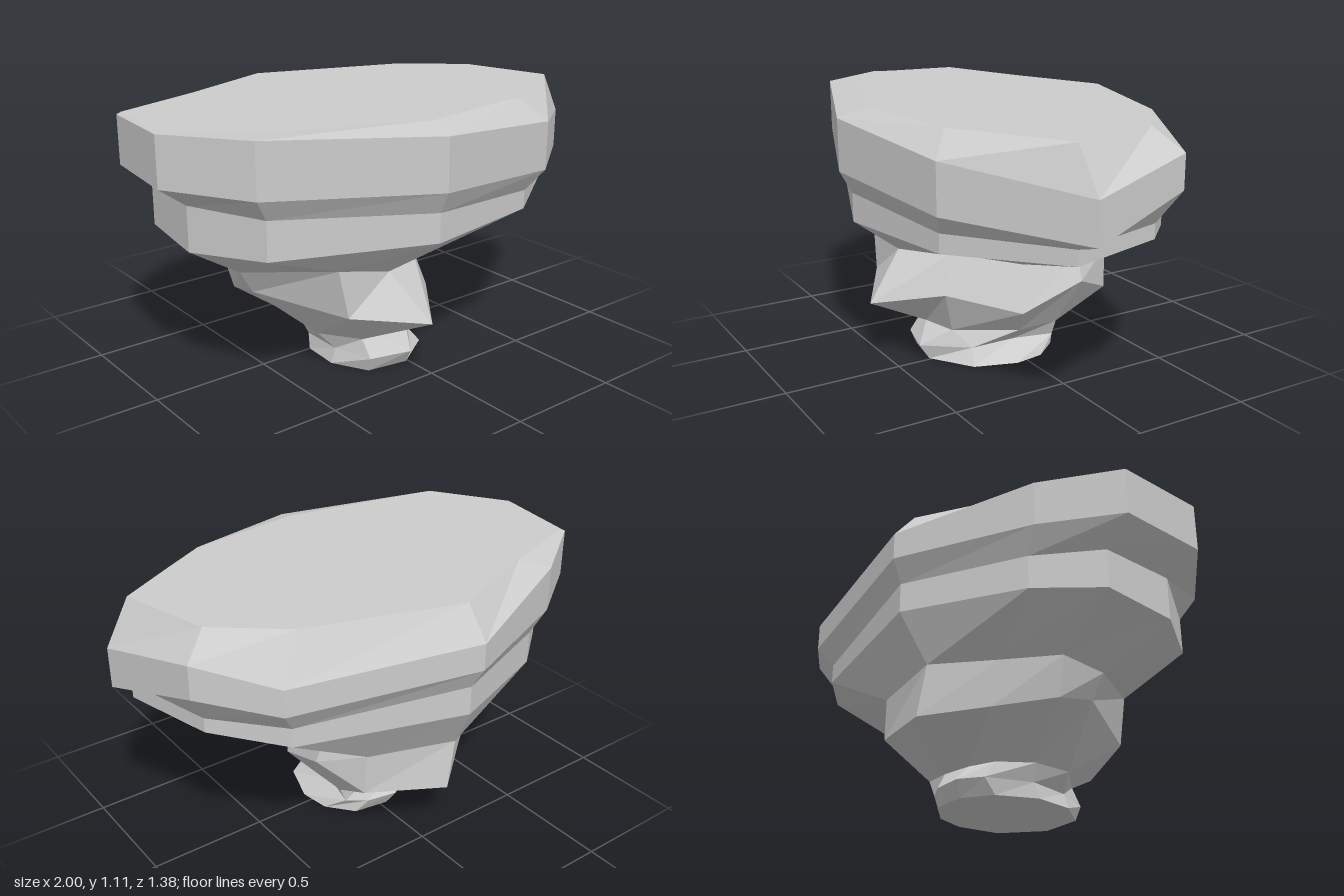
import * as THREE from 'three';

// Ten-sided outlines as [x, z], starting at the back and going round by the +x side
const plateau = [[-0.11, -0.585], [0.53, -0.38], [0.79, -0.165], [0.89, 0.23], [0.435, 0.495],
  [-0.08, 0.57], [-0.66, 0.355], [-0.985, 0.12], [-0.935, -0.27], [-0.545, -0.405]];
const rim = [[-0.11, -0.69], [0.64, -0.455], [0.9, -0.24], [1, 0.215], [0.53, 0.585],
  [-0.11, 0.685], [-0.785, 0.435], [-1, 0.12], [-0.95, -0.28], [-0.66, -0.48]];
const ledge = [[-0.1, -0.637], [0.58, -0.41], [0.82, -0.178], [0.91, 0.235], [0.46, 0.54],
  [-0.1, 0.637], [-0.725, 0.4], [-0.87, 0.085], [-0.83, -0.26], [-0.6, -0.45]];
const waist = [[-0.14, -0.52], [0.22, -0.4], [0.29, -0.21], [0.24, 0.04], [0.07, 0.28],
  [-0.16, 0.41], [-0.41, 0.41], [-0.6, 0], [-0.56, -0.2], [-0.36, -0.35]];
const bulge = [[-0.1, -0.53], [0.23, -0.395], [0.335, -0.2], [0.3, 0.07], [0.11, 0.33],
  [-0.08, 0.585], [-0.37, 0.42], [-0.54, 0], [-0.52, -0.18], [-0.32, -0.35]];
const ankle = [[-0.05, -0.19], [0.08, -0.19], [0.19, -0.17], [0.2, 0.03], [0.05, 0.27],
  [-0.11, 0.31], [-0.2, 0.29], [-0.31, 0.13], [-0.28, -0.04], [-0.17, -0.16]];
const collar = [[-0.05, -0.255], [0.08, -0.23], [0.16, -0.17], [0.12, 0], [0.12, 0.21],
  [-0.02, 0.39], [-0.2, 0.345], [-0.25, 0.17], [-0.25, -0.02], [-0.15, -0.2]];
const sole = [[-0.03, -0.215], [0.12, -0.19], [0.21, -0.08], [0.23, 0.05], [0.17, 0.23],
  [-0.01, 0.35], [-0.19, 0.32], [-0.27, 0.17], [-0.26, 0], [-0.16, -0.15]];

// Lift an outline to one height, or to a height per corner
const ring = (outline, y) => outline.map(([x, z], i) => [x, Array.isArray(y) ? y[i] : y, z]);

// Flat-shaded skin over rings listed from top to bottom, with optional caps
function loft(name, rings, { top, bottom } = {}) {
  const pos = [];
  const tri = (...corners) => corners.forEach((c) => pos.push(...c));
  const n = rings[0].length;
  for (let i = 0; i < n; i++) {
    const j = (i + 1) % n;
    for (let k = 0; k < rings.length - 1; k++) {
      const a = rings[k], b = rings[k + 1];
      tri(a[i], a[j], b[j]);
      tri(a[i], b[j], b[i]);
    }
    if (top) tri(top, rings[0][j], rings[0][i]);
    if (bottom) tri(bottom, rings.at(-1)[i], rings.at(-1)[j]);
  }
  const geometry = new THREE.BufferGeometry();
  geometry.setAttribute('position', new THREE.Float32BufferAttribute(pos, 3));
  geometry.computeVertexNormals();
  const material = new THREE.MeshStandardMaterial({
    color: 0xcccccc, flatShading: true, side: THREE.DoubleSide,
  });
  const mesh = new THREE.Mesh(geometry, material);
  mesh.name = name;
  return mesh;
}

export function createModel() {
  const group = new THREE.Group();
  group.name = 'rockPlatform';

  // Heights of the uneven ledges, corner by corner
  const rimTop = [0.97, 0.92, 1.01, 0.92, 1.005, 1.065, 1.105, 1.1, 1.09, 1.06];
  const rimBottom = [0.855, 0.805, 0.87, 0.75, 0.8, 0.848, 0.885, 0.895, 0.89, 0.87];
  const ledgeTop = [0.765, 0.715, 0.735, 0.725, 0.715, 0.757, 0.795, 0.8, 0.79, 0.77];
  const ledgeBottom = [0.64, 0.633, 0.673, 0.662, 0.635, 0.635, 0.635, 0.615, 0.625, 0.63];
  const waistY = [0.44, 0.44, 0.475, 0.445, 0.485, 0.465, 0.525, 0.44, 0.46, 0.45];
  const bulgeY = [0.23, 0.265, 0.355, 0.25, 0.32, 0.275, 0.32, 0.34, 0.3, 0.265];

  const ledgeRing = ring(ledge, ledgeTop);
  const waistRing = ring(waist, waistY);
  const ankleRing = ring(ankle, 0.135);

  group.add(
    // Flat top with its thick rim
    loft('topSlab', [ring(plateau, 1.1), ring(rim, rimTop), ring(rim, rimBottom), ledgeRing],
      { top: [0, 1.1, 0] }),
    // Second, narrower ledge tapering to the waist
    loft('lowerLedge', [ledgeRing, ring(ledge, ledgeBottom), waistRing]),
    // Bulging stem
    loft('stem', [waistRing, ring(bulge, bulgeY), ankleRing]),
    // Pinched foot on the ground
    loft('foot', [ankleRing, ring(collar, 0.065), ring(sole, 0)], { bottom: [-0.02, 0, 0.07] }),
  );
  return group;
}
